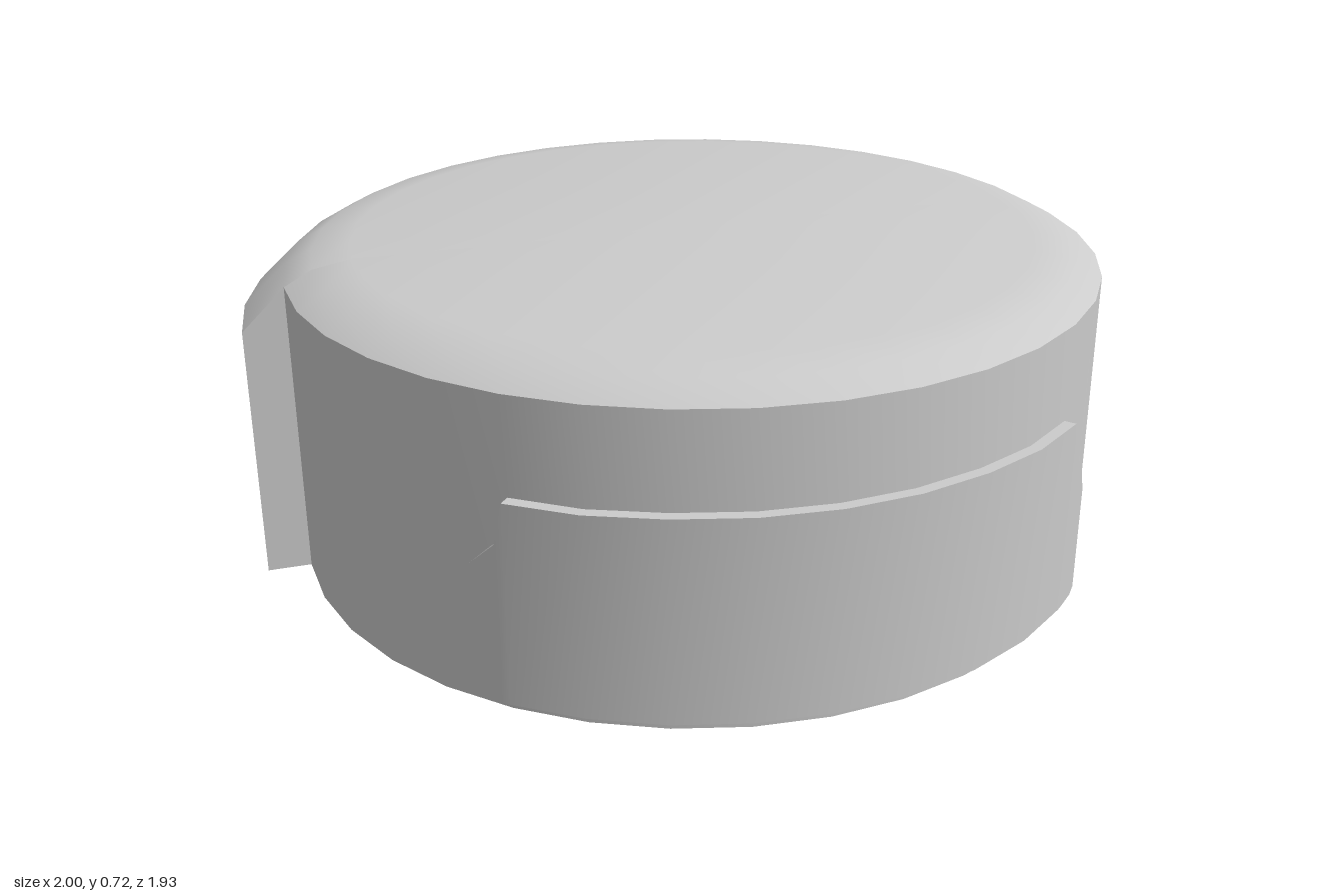
import * as THREE from 'three';
import { toCreasedNormals } from 'three/addons/utils/BufferGeometryUtils.js';

const CREASE = THREE.MathUtils.degToRad(25);
const CENTRE_Z = 0.035;
const R_BACK = 1, R_FRONT = 0.905, R_PLATE = 0.93;

// Domed shoulder shared by both halves, from the front rim to the middle of the top
const dome = [[R_FRONT, 0.667], [0.845, 0.7], [0.76, 0.716], [0, 0.716]];

export function createModel() {
  const group = new THREE.Group();
  const material = new THREE.MeshStandardMaterial({ color: 0xcccccc });

  function add(name, geometry) {
    const mesh = new THREE.Mesh(geometry, material);
    mesh.name = name;
    mesh.position.z = CENTRE_Z;
    group.add(mesh);
  }

  function halfDrum(profile, phiStart) {
    const points = profile.map(([r, y]) => new THREE.Vector2(r, y));
    return toCreasedNormals(new THREE.LatheGeometry(points, 18, phiStart, Math.PI), CREASE);
  }

  // Two half drums, the back one wider
  add('frontBody', halfDrum([[0, 0], [R_FRONT, 0], ...dome], -Math.PI / 2));
  add('backBody', halfDrum([[0, 0], [R_BACK, 0], [R_BACK, 0.575], ...dome], Math.PI / 2));

  // Narrow walls where the back half steps out past the front half
  for (const [name, s] of [['leftStep', 1], ['rightStep', -1]]) {
    const corners = [[R_FRONT, 0], [R_BACK, 0], [R_BACK, 0.575], [R_FRONT, 0.667]];
    const shape = new THREE.Shape(corners.map(([x, y]) => new THREE.Vector2(s * x, y)));
    add(name, new THREE.ShapeGeometry(shape));
  }

  add('frontPlate', curvedPlate());
  return group;
}

// Curved raised plate, built from upright columns: [degrees, bottom, top]
function curvedPlate() {
  const half = [
    [45.4, 0.035, 0.27], [44.1, 0.025, 0.32], [40.7, 0.025, 0.37], [39.5, 0.025, 0.46],
    [30, 0.025, 0.46], [20, 0.025, 0.463], [10, 0.025, 0.463],
  ];
  const columns = [
    ...half.map(([a, b, t]) => [-a, b, t]),
    [0, 0.025, 0.463],
    ...half.slice().reverse(),
  ];
  const positions = [], index = [];
  columns.forEach(([degrees, bottom, top], i) => {
    const a = THREE.MathUtils.degToRad(degrees);
    for (const [r, y] of [[0.885, bottom], [R_PLATE, bottom], [R_PLATE, top], [0.885, top]]) {
      positions.push(r * Math.sin(a), y, r * Math.cos(a));
    }
    if (i === 0) return;
    for (let k = 0; k < 4; k++) {
      const n = (k + 1) % 4, p = (i - 1) * 4, q = i * 4;
      index.push(p + k, q + k, q + n, p + k, q + n, p + n);
    }
  });
  // End walls
  const e = (columns.length - 1) * 4;
  index.push(0, 1, 2, 0, 2, 3, e, e + 2, e + 1, e, e + 3, e + 2);

  const geometry = new THREE.BufferGeometry();
  geometry.setAttribute('position', new THREE.Float32BufferAttribute(positions, 3));
  geometry.setIndex(index);
  return toCreasedNormals(geometry, CREASE);
}
